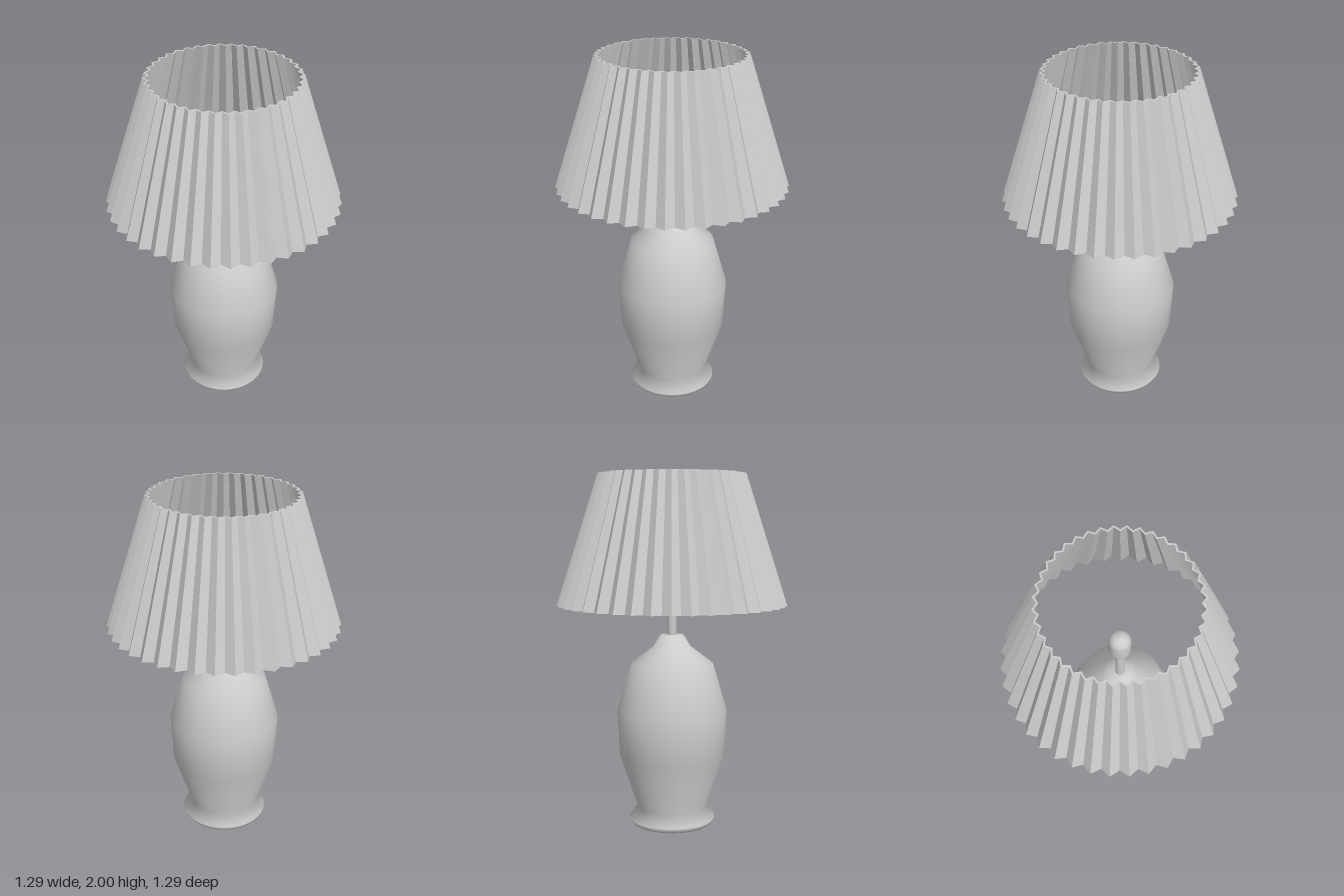
import * as THREE from 'three';

const plaster = new THREE.MeshStandardMaterial({ color: 0xcccccc });
plaster.name = 'light grey';

// Surface of revolution from [radius, height] pairs, bottom to top
function turned(name, profile, segments = 64) {
  const points = profile.map(([r, y]) => new THREE.Vector2(r, y));
  const mesh = new THREE.Mesh(new THREE.LatheGeometry(points, segments), plaster);
  mesh.name = name;
  return mesh;
}

// Pleated cone wall: four zigzag rings joined into a closed thin shell
function pleatedShade() {
  const pleats = 40, steps = pleats * 2, wall = 0.011;
  const bottom = { y: 1.27, valley: 0.613, peak: 0.649 };
  const top = { y: 2, valley: 0.39, peak: 0.413 };
  const rings = [[bottom, 0], [top, 0], [top, wall], [bottom, wall]];
  const corner = (j, i) => {
    const [ring, inset] = rings[j % 4];
    const a = (i / steps) * Math.PI * 2;
    const r = (i % 2 ? ring.peak : ring.valley) - inset;
    return [Math.sin(a) * r, ring.y, Math.cos(a) * r];
  };
  const positions = [];
  for (let j = 0; j < 4; j++) {
    for (let i = 0; i < steps; i++) {
      const a = corner(j, i), b = corner(j, i + 1);
      const c = corner(j + 1, i + 1), d = corner(j + 1, i);
      positions.push(...a, ...b, ...c, ...a, ...c, ...d);
    }
  }
  const geometry = new THREE.BufferGeometry();
  geometry.setAttribute('position', new THREE.Float32BufferAttribute(positions, 3));
  geometry.computeVertexNormals(); // unshared corners keep the folds crisp
  const mesh = new THREE.Mesh(geometry, plaster);
  mesh.name = 'pleatedShade';
  return mesh;
}

export function createModel() {
  const lamp = new THREE.Group();
  lamp.name = 'tableLamp';

  // Vase-shaped body with a flared foot
  lamp.add(turned('vaseBody', [
    [0, 0], [0.23, 0.005], [0.247, 0.035], [0.2, 0.1], [0.3, 0.4],
    [0.315, 0.665], [0.235, 0.935], [0.105, 1.035], [0.065, 1.1], [0, 1.1],
  ]));

  // Stem rising into the shade
  const stem = new THREE.Mesh(new THREE.CylinderGeometry(0.025, 0.025, 0.34, 24), plaster);
  stem.name = 'stem';
  stem.position.y = 1.25;
  lamp.add(stem);

  // Rounded bulb on top of the stem
  lamp.add(turned('bulb', [
    [0, 1.405], [0.03, 1.407], [0.052, 1.42], [0.059, 1.44], [0.059, 1.54],
    [0.052, 1.567], [0.03, 1.586], [0, 1.592],
  ], 32));

  lamp.add(pleatedShade());
  return lamp;
}
